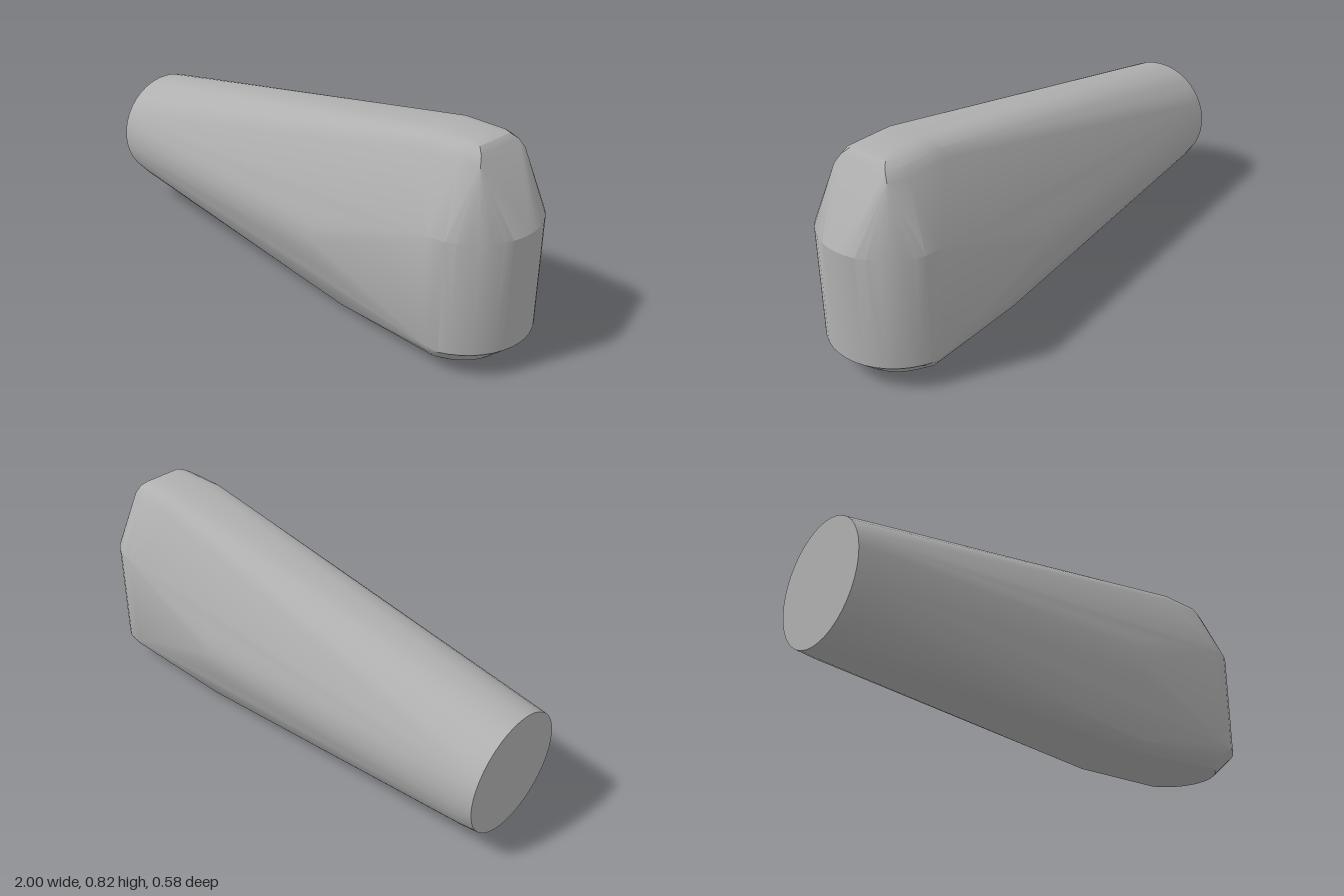
import * as THREE from 'three';
import { ConvexGeometry } from 'three/addons/geometries/ConvexGeometry.js';
import { toCreasedNormals } from 'three/addons/utils/BufferGeometryUtils.js';

export function createModel() {
  const group = new THREE.Group();
  const grey = new THREE.MeshStandardMaterial({ color: 0xb0b0b0 });
  grey.name = 'plain grey';

  const points = [];
  const add = (x, y, z) => points.push(new THREE.Vector3(x, y, z));
  const pair = (x, y, z) => { add(x, y, z); add(x, y, -z); };

  // Tapered round shank: rings across x, around one axis height
  const ring = (x, r, count) => {
    for (let i = 0; i < count; i++) {
      const a = (i / count) * Math.PI * 2;
      add(x, 0.32 + r * Math.sin(a), r * Math.cos(a));
    }
  };
  ring(-1, 0.236, 40);
  ring(-0.93, 0.245, 40);
  ring(0.27, 0.288, 32);

  // Rounded nose: upright arcs forming the wall and the bevel under it
  const arc = (r, y) => {
    for (let i = 0; i <= 16; i++) {
      const a = THREE.MathUtils.degToRad(66 * (i / 8 - 1));
      add(0.732 + r * Math.cos(a), y, r * Math.sin(a));
    }
  };
  arc(0.268, 0.53);
  arc(0.268, 0.105);
  arc(0.188, 0.028);

  // Shoulders where the side walls meet the nose
  pair(0.78, 0.53, 0.254);
  pair(0.78, 0.11, 0.254);
  pair(0.8, 0.083, 0.24);
  pair(0.8, 0.053, 0.214);

  // Flat underside edge
  pair(0.35, 0.003, 0.145);
  pair(0.33, 0.035, 0.195);

  // Rounded crown: height, side half width, back x, front x, front half width
  const crown = [
    [0.82, 0.055, 0.65, 0.8, 0.055],
    [0.812, 0.095, 0.635, 0.83, 0.08],
    [0.793, 0.125, 0.62, 0.853, 0.1],
    [0.76, 0.148, 0.62, 0.868, 0.12],
  ];
  for (const [y, side, back, front, frontHalf] of crown) {
    pair(back, y, side);
    pair(0.8, y, side);
    pair(front, y, frontHalf);
  }

  const body = new THREE.Mesh(toCreasedNormals(new ConvexGeometry(points), 0.42), grey);
  body.name = 'taperedBody';
  group.add(body);
  return group;
}
